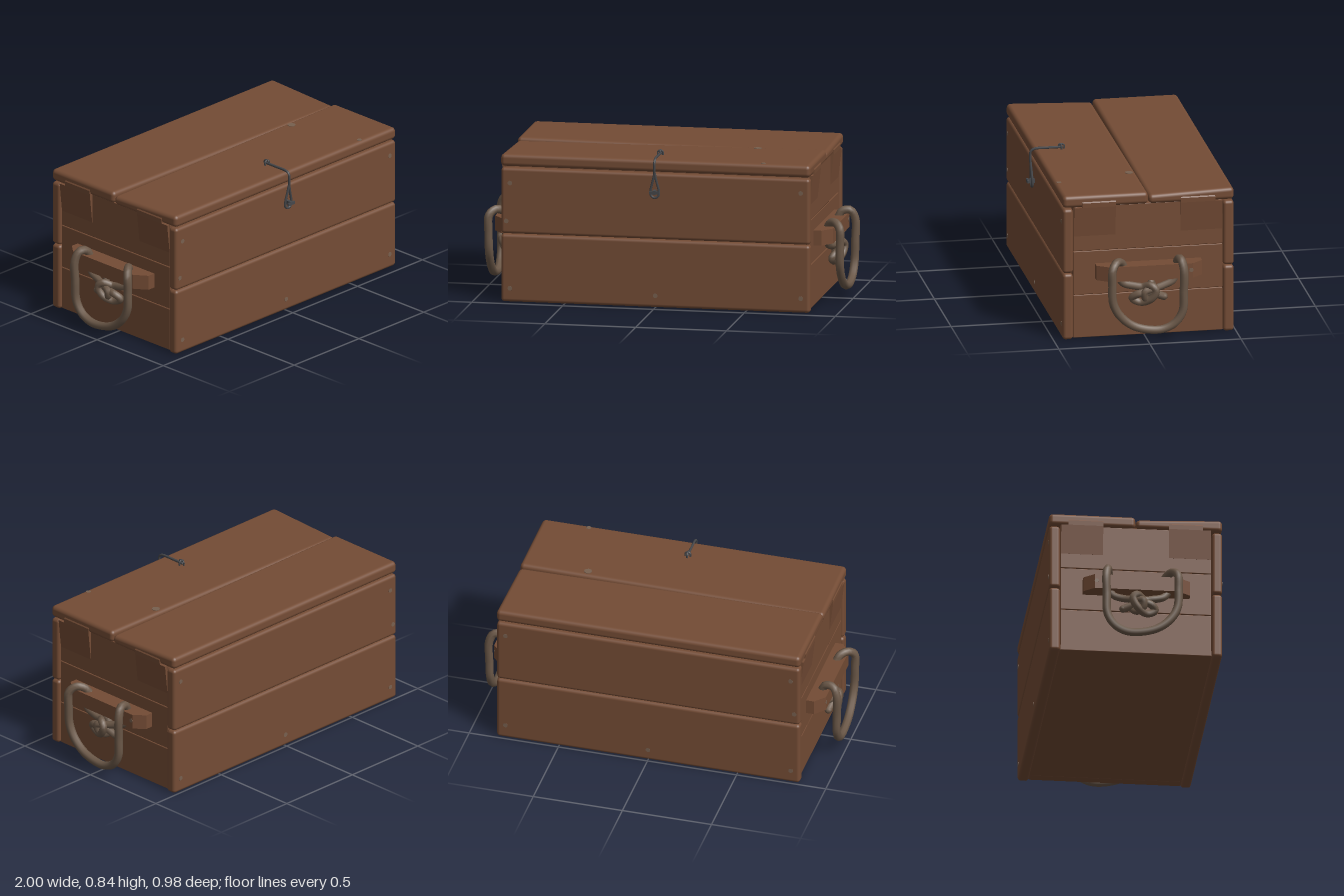
import * as THREE from 'three';
import { RoundedBoxGeometry } from 'three/addons/geometries/RoundedBoxGeometry.js';

const mat = (name, color, extra = {}) => {
  const m = new THREE.MeshStandardMaterial({ color, ...extra });
  m.name = name;
  return m;
};

export function createModel() {
  const wood = mat('wood', 0x744c35);
  const ropeMat = mat('rope', 0x6b5848);
  const metal = mat('dark iron', 0x46474a);
  const nailMat = mat('nail heads', 0x77604f);
  const model = new THREE.Group();
  model.name = 'woodenChest';

  const add = (name, geometry, material, parent = model) => {
    const mesh = new THREE.Mesh(geometry, material);
    mesh.name = name;
    parent.add(mesh);
    return mesh;
  };

  // Rounded board between two corners
  const board = (name, x0, x1, y0, y1, z0, z1, r, parent = model) => {
    const g = new RoundedBoxGeometry(x1 - x0, y1 - y0, z1 - z0, 3, r);
    g.translate((x0 + x1) / 2, (y0 + y1) / 2, (z0 + z1) / 2);
    return add(name, g, wood, parent);
  };

  // Smooth tube with closed round ends
  const cord = (name, pts, r, material, parent, steps = 60, sides = 8) => {
    const curve = new THREE.CatmullRomCurve3(pts.map(p => new THREE.Vector3(...p)));
    add(name, new THREE.TubeGeometry(curve, steps, r, sides), material, parent);
    for (const p of [pts[0], pts[pts.length - 1]]) {
      add(name + 'End', new THREE.SphereGeometry(r, sides, 6).translate(...p), material, parent);
    }
  };

  // Front and back planks
  for (const [name, z0, z1] of [['frontPlank', 0.393, 0.45], ['backPlank', -0.49, -0.43]]) {
    board(name + 'Lower', -0.85, 0.85, 0, 0.372, z0, z1, 0.018);
    board(name + 'Upper', -0.85, 0.85, 0.375, 0.738, z0, z1, 0.018);
  }
  board('floor', -0.83, 0.83, 0.008, 0.04, -0.432, 0.395, 0.003);

  // Lid boards, each sagging a little along the middle seam at opposite ends
  const lid = (name, z0, z1, lowEnd) => {
    const mesh = board(name, -0.852, 0.852, 0.745, 0.812, z0, z1, 0.022);
    const p = mesh.geometry.attributes.position;
    for (let i = 0; i < p.count; i++) {
      if (Math.abs(p.getZ(i) + 0.02) < 0.05 && p.getY(i) > 0.78) {
        const t = (p.getX(i) * lowEnd + 0.852) / 1.704;
        p.setY(i, p.getY(i) - 0.016 * t);
      }
    }
  };
  lid('lidFront', -0.019, 0.45, -1);
  lid('lidBack', -0.49, -0.021, 1);

  // Prism from a polygon in x and y, stretched from z0 to z1
  const prism = (name, pts, z0, z1, parent) => {
    const g = new THREE.ExtrudeGeometry(new THREE.Shape(pts.map(p => new THREE.Vector2(...p))),
      { depth: z1 - z0, bevelEnabled: false });
    return add(name, g.translate(0, 0, z0), wood, parent);
  };

  // Both ends: boards, lid tabs, handle cleat and rope handle
  for (const s of [1, -1]) {
    const end = new THREE.Group();
    end.name = s > 0 ? 'leftEnd' : 'rightEnd';
    model.add(end);
    const flip = pts => pts.map(([x, ...rest]) => [x * s, ...rest]);

    for (const [y0, y1] of [[0.006, 0.247], [0.249, 0.494], [0.496, 0.748]]) {
      const xs = [0.78 * s, 0.836 * s].sort((a, b) => a - b);
      board('endBoard', xs[0], xs[1], y0, y1, -0.428, 0.391, 0.004, end);
    }

    // Tabs swell outward from the top board and overlap the lid edge
    for (const [a, b, c, d] of [[0.16, 0.388, 0.16, 0.345], [-0.425, -0.197, -0.385, -0.197]]) {
      prism('tabBase', flip([[0.8, 0.58], [0.8365, 0.58], [0.855, 0.745], [0.8, 0.745]]), a, b, end);
      prism('tabTop', flip([[0.8, 0.745], [0.855, 0.745], [0.856, 0.77], [0.85, 0.78], [0.8, 0.78]]), c, d, end);
    }

    // Cleat with chamfered ends
    const outline = flip([[0.83, -0.272], [0.88, -0.272], [0.93, -0.2], [0.93, 0.25], [0.88, 0.308], [0.83, 0.308]]);
    const cleat = new THREE.ExtrudeGeometry(new THREE.Shape(outline.map(p => new THREE.Vector2(...p))),
      { depth: 0.082, bevelEnabled: false });
    add('handleCleat', cleat.rotateX(-Math.PI / 2).translate(0, 0.34, 0), wood, end);

    // Hanging loop of the handle
    cord('ropeLoop', flip([
      [0.885, 0.41, 0.125], [0.90, 0.438, 0.14], [0.935, 0.45, 0.17], [0.965, 0.42, 0.197],
      [0.967, 0.33, 0.2], [0.965, 0.23, 0.195], [0.965, 0.16, 0.16], [0.966, 0.1, 0.09],
      [0.967, 0.072, 0], [0.968, 0.072, -0.08], [0.97, 0.105, -0.145], [0.972, 0.17, -0.185],
      [0.975, 0.28, -0.19], [0.975, 0.4, -0.192], [0.95, 0.45, -0.182], [0.905, 0.445, -0.172],
      [0.885, 0.41, -0.168]]), 0.023, ropeMat, end, 72);

    // Rope ends knotted below the cleat
    cord('ropeKnotA', flip([
      [0.885, 0.35, 0.15], [0.89, 0.318, 0.125], [0.895, 0.302, 0.07], [0.9, 0.295, 0.02],
      [0.935, 0.31, -0.02], [0.945, 0.285, -0.045], [0.935, 0.235, -0.02], [0.905, 0.21, 0.035],
      [0.9, 0.235, 0.08], [0.92, 0.262, 0.05], [0.91, 0.262, -0.02], [0.9, 0.235, -0.095]]),
      0.021, ropeMat, end, 60);
    cord('ropeKnotB', flip([
      [0.885, 0.35, -0.165], [0.89, 0.318, -0.145], [0.9, 0.297, -0.09], [0.92, 0.285, -0.03],
      [0.935, 0.275, 0.015], [0.925, 0.235, 0.01], [0.905, 0.222, -0.025], [0.89, 0.26, -0.05],
      [0.9, 0.32, -0.025]]), 0.02, ropeMat, end, 45);
  }

  // Wire latch: arm over the lid edge and a teardrop eye on the front
  const latch = new THREE.Group();
  latch.name = 'latch';
  model.add(latch);
  cord('latchArm', [[0, 0.822, 0.3], [0, 0.822, 0.38], [0, 0.82, 0.45], [0, 0.808, 0.47],
    [0, 0.77, 0.474], [0, 0.73, 0.471]], 0.007, metal, latch, 30, 6);
  cord('latchEye', [[0, 0.745, 0.472], [-0.01, 0.7, 0.469], [-0.022, 0.65, 0.466], [-0.02, 0.618, 0.465],
    [0, 0.607, 0.465], [0.02, 0.618, 0.465], [0.022, 0.65, 0.466], [0.01, 0.7, 0.469],
    [0, 0.745, 0.472]], 0.007, metal, latch, 40, 6);

  // Staple on the lid and peg on the front
  cord('lidStaple', [[-0.013, 0.8, 0.305], [-0.013, 0.832, 0.305], [0, 0.838, 0.305],
    [0.013, 0.832, 0.305], [0.013, 0.8, 0.305]], 0.005, metal, latch, 20, 6);
  cord('armTip', [[0, 0.822, 0.318], [0, 0.838, 0.315], [0, 0.833, 0.288], [0, 0.812, 0.288]],
    0.005, metal, latch, 16, 6);
  add('pegShaft', new THREE.BoxGeometry(0.016, 0.022, 0.05).translate(0, 0.64, 0.465), metal, latch);
  add('pegHead', new THREE.BoxGeometry(0.05, 0.016, 0.01).translate(0, 0.64, 0.488), metal, latch);

  // Nail heads
  const nail = (x, y, z, r, axis) => {
    const g = new THREE.CylinderGeometry(r, r, 0.003, 10);
    if (axis === 'z') g.rotateX(Math.PI / 2);
    if (axis === 'x') g.rotateZ(Math.PI / 2);
    add('nailHead', g.translate(x, y, z), nailMat);
  };
  for (const [x, y] of [[-0.8, 0.655], [0.8, 0.66], [-0.82, 0.445], [0, 0.065], [-0.8, 0.075], [0.8, 0.08]]) {
    nail(x, y, 0.45, 0.013, 'z');
    nail(x, y, -0.49, 0.013, 'z');
  }
  nail(0.48, 0.811, 0.02, 0.022, 'y');
  nail(0.59, 0.812, 0.425, 0.014, 'y');
  for (const s of [1, -1]) nail(0.93 * s, 0.385, -0.24, 0.012, 'x');

  return model;
}
